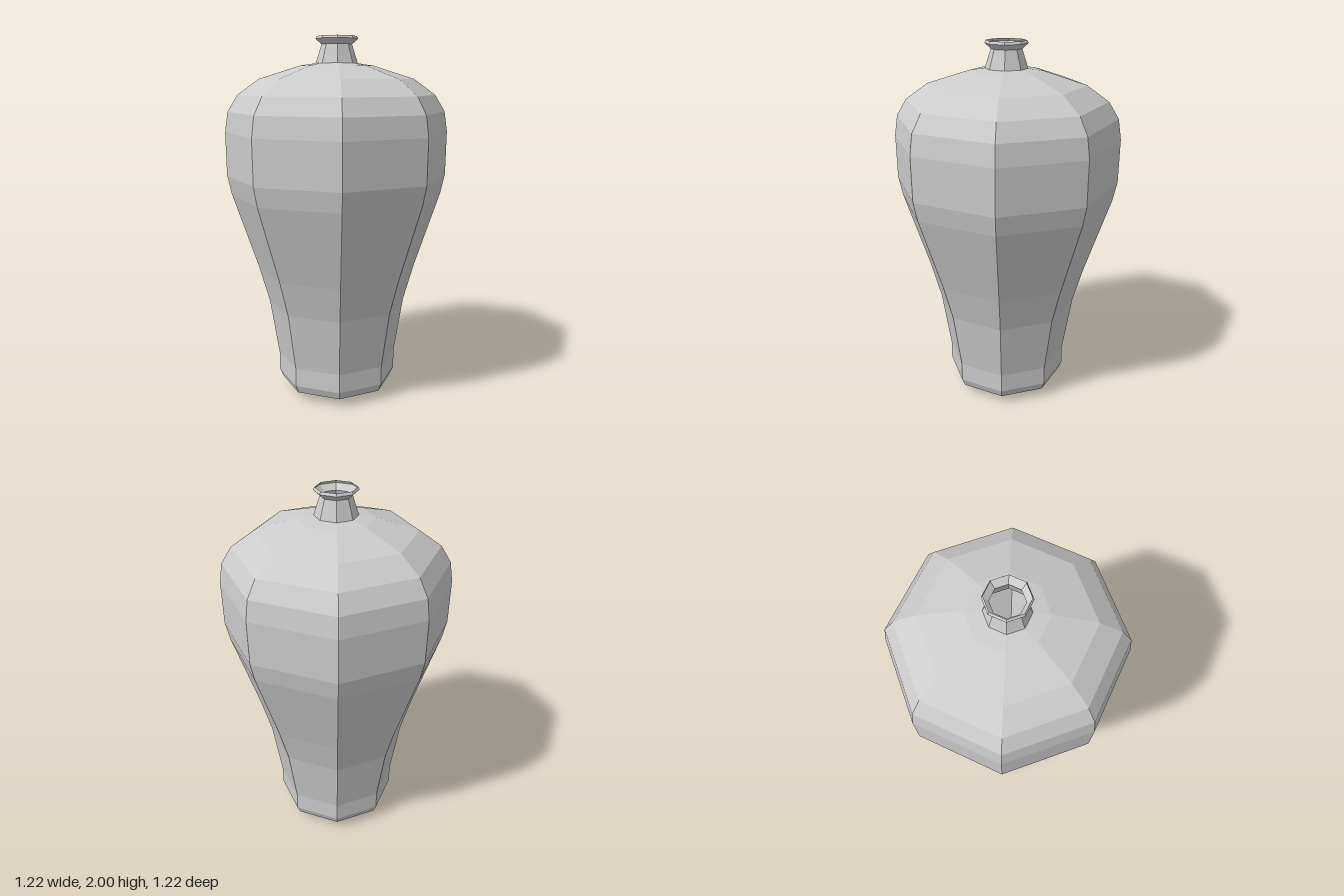
import * as THREE from 'three';

const SIDES = 8;
const TWIST = THREE.MathUtils.degToRad(5.1); // slight turn of the octagon about y

export function createModel() {
  const group = new THREE.Group();
  group.name = 'vase';
  const material = new THREE.MeshStandardMaterial({
    color: 0xcccccc, flatShading: true, side: THREE.DoubleSide,
  });

  // Spins a [radius, height] profile into an eight-sided part
  const turned = (name, profile) => {
    const points = profile.map(([r, y]) => new THREE.Vector2(r, y));
    const mesh = new THREE.Mesh(
      new THREE.LatheGeometry(points, SIDES, TWIST, Math.PI * 2), material);
    mesh.name = name;
    group.add(mesh);
  };

  // Base with a chamfered foot
  turned('foot', [[0, 0], [0.235, 0.01], [0.318, 0.05], [0.337, 0.095], [0.337, 0.2]]);

  // Tapered body swelling to a broad shoulder
  turned('body', [
    [0.337, 0.2], [0.388, 0.52], [0.445, 0.72], [0.587, 1.145], [0.61, 1.25],
    [0.613, 1.49], [0.596, 1.6], [0.541, 1.69], [0.422, 1.775], [0.2, 1.845], [0.114, 1.858],
  ]);

  // Narrow neck, open at the top
  turned('neck', [[0.114, 1.858], [0.082, 1.957]]);

  // Thin flared lip around the opening
  turned('lip', [[0.082, 1.957], [0.115, 1.986], [0.107, 2]]);

  return group;
}
